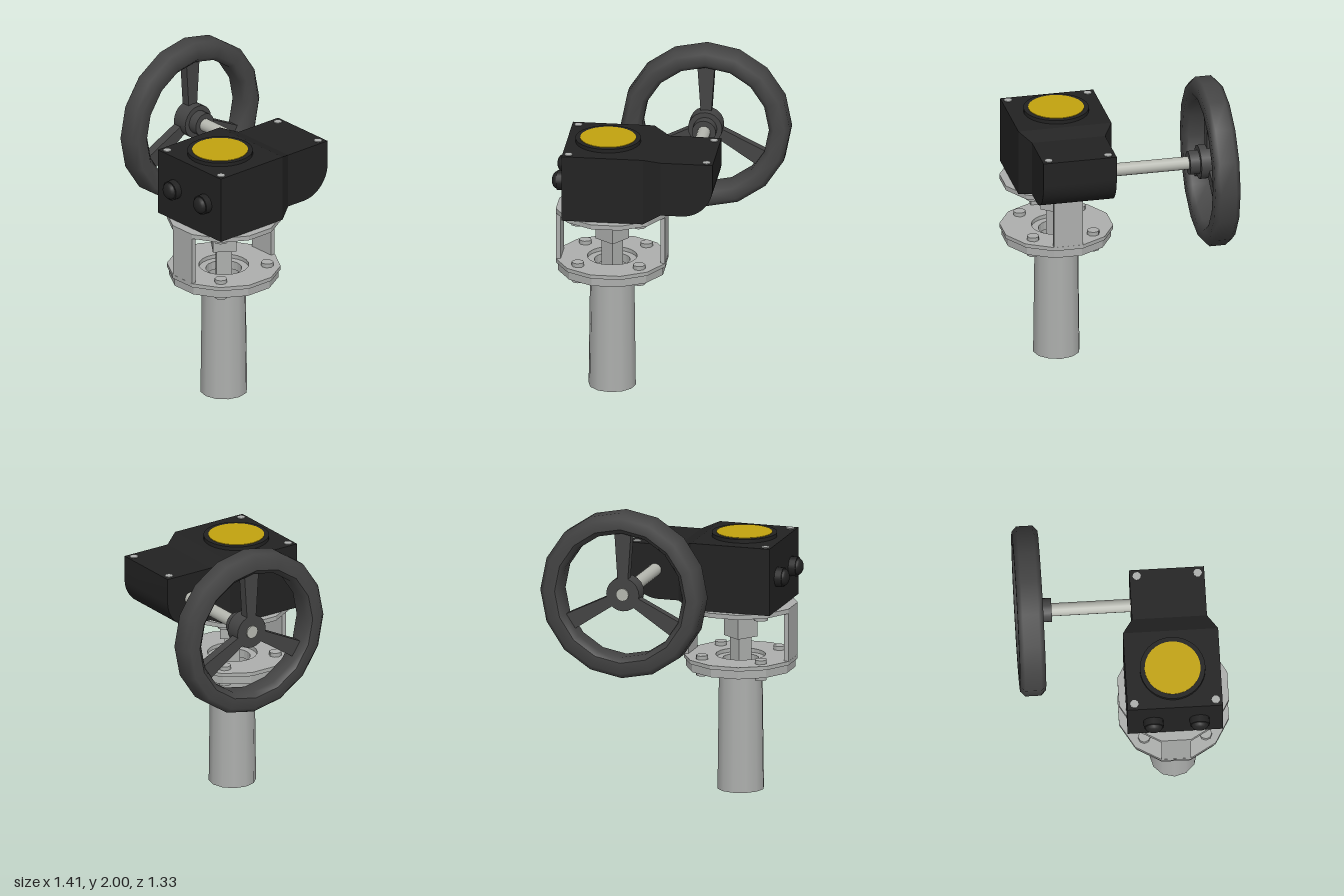
import * as THREE from 'three';
import { toCreasedNormals } from 'three/addons/utils/BufferGeometryUtils.js';

const metal = new THREE.MeshStandardMaterial({ color: 0xadafad });
metal.name = 'grey metal';
const openMetal = metal.clone();
openMetal.name = 'grey metal pipe';
openMetal.side = THREE.DoubleSide;
const steel = new THREE.MeshStandardMaterial({ color: 0xb6b8b0 });
steel.name = 'shaft steel';
const black = new THREE.MeshStandardMaterial({ color: 0x222222 });
black.name = 'black housing';
const iron = new THREE.MeshStandardMaterial({ color: 0x444444 });
iron.name = 'dark iron';
const yellow = new THREE.MeshStandardMaterial({ color: 0xc2a30f });
yellow.name = 'yellow';

const AX = -0.34, AZ = 0.313; // vertical valve axis
const WX = 0.158, WY = 1.455; // handwheel axis

function add(parent, name, geometry, material, x = 0, y = 0, z = 0) {
  const mesh = new THREE.Mesh(geometry, material);
  mesh.name = name;
  mesh.position.set(x, y, z);
  parent.add(mesh);
  return mesh;
}

const disc = (r, h, n = 24) => new THREE.CylinderGeometry(r, r, h, n);

// Twelve-sided plate with flats facing the axes, rising from y = 0
function flangePlate(apothem, height, hole) {
  const r = apothem / Math.cos(Math.PI / 12), pts = [];
  for (let i = 0; i < 12; i++) {
    const a = (i + 0.5) * Math.PI / 6;
    pts.push(new THREE.Vector2(r * Math.cos(a), r * Math.sin(a)));
  }
  const shape = new THREE.Shape(pts);
  if (hole) shape.holes.push(new THREE.Path().absarc(0, 0, hole, 0, Math.PI * 2, true));
  return new THREE.ExtrudeGeometry(shape, { depth: height, bevelEnabled: false, curveSegments: 12 }).rotateX(-Math.PI / 2);
}

// Box whose end at the positive side of one axis is scaled
function taperedBox(w, h, d, axis, scale) {
  const g = new THREE.BoxGeometry(w, h, d);
  const p = g.attributes.position, v = new THREE.Vector3();
  for (let i = 0; i < p.count; i++) {
    v.fromBufferAttribute(p, i);
    if (v[axis] > 0) v.multiply(scale);
    p.setXYZ(i, v.x, v.y, v.z);
  }
  g.computeVertexNormals();
  return g;
}

function buildMount() {
  const g = new THREE.Group();
  g.name = 'mount';
  g.position.set(AX, 0, AZ);
  add(g, 'pipe', new THREE.CylinderGeometry(0.142, 0.152, 0.82, 12, 1, true), openMetal, 0, 0.41, 0);
  add(g, 'lowerFlange', flangePlate(0.338, 0.055, 0.115), metal, 0, 0.8, 0);
  add(g, 'bracketBase', flangePlate(0.352, 0.025, 0.16), metal, 0, 0.855, 0);
  add(g, 'bracketTop', flangePlate(0.352, 0.03), metal, 0, 1.195, 0);
  for (const s of [-1, 1]) {
    add(g, 'bracketSide', new THREE.BoxGeometry(0.03, 0.32, 0.188), metal, s * 0.336, 1.038, 0);
  }
  // Square stem, turned part way
  add(g, 'stem', new THREE.BoxGeometry(0.098, 0.25, 0.098), metal, 0, 0.9, 0).rotation.y = -0.64;
  add(g, 'stemSocket', new THREE.BoxGeometry(0.152, 0.2, 0.152), metal, 0, 1.1, 0).rotation.y = -0.64;
  // Bolt heads above and below the plates
  for (const x of [-0.197, 0.197]) for (const z of [-0.197, 0.197]) {
    add(g, 'upperBolt', disc(0.048, 0.03, 8), metal, x, 1.181, z);
    add(g, 'bolt', disc(0.04, 0.028, 8), metal, x, 0.892, z);
    add(g, 'nut', disc(0.04, 0.028, 8), metal, x, 0.787, z);
  }
  return g;
}

function buildGearbox() {
  const g = new THREE.Group();
  g.name = 'gearbox';
  add(g, 'housing', new THREE.BoxGeometry(0.525, 0.44, 0.61), black, -0.3675, 1.445, 0.31);
  add(g, 'neck', taperedBox(0.105, 0.44, 0.61, 'x', new THREE.Vector3(1, 0.36 / 0.44, 0.48 / 0.61)), black, -0.0525, 1.445, 0.31);
  // Worm housing with one rounded lower corner
  const s = new THREE.Shape();
  s.moveTo(0, 1.265);
  s.lineTo(0.135, 1.265);
  s.absarc(0.135, 1.465, 0.2, -Math.PI / 2, 0, false);
  s.lineTo(0.335, 1.625);
  s.lineTo(0, 1.625);
  const worm = new THREE.ExtrudeGeometry(s, { depth: 0.48, bevelEnabled: false, curveSegments: 10 });
  add(g, 'wormHousing', toCreasedNormals(worm, 0.5), black, 0, 0, 0.07);
  // Position indicator
  add(g, 'indicatorRim', disc(0.21, 0.025, 32), black, -0.367, 1.677, 0.308);
  add(g, 'indicatorFace', disc(0.179, 0.004, 32), yellow, -0.367, 1.691, 0.308);
  for (const [x, y, z] of [[-0.59, 1.665, 0.05], [-0.59, 1.665, 0.572], [0.292, 1.625, 0.117], [0.292, 1.625, 0.507]]) {
    add(g, 'coverScrew', disc(0.027, 0.006, 10), metal, x, y + 0.001, z);
  }
  // Stop screw caps on the end
  for (const z of [0.17, 0.465]) {
    add(g, 'stopCap', disc(0.064, 0.045, 16).rotateZ(Math.PI / 2), black, -0.6525, 1.445, z);
    const dome = new THREE.SphereGeometry(0.056, 16, 6, 0, Math.PI * 2, 0, Math.PI / 2);
    dome.scale(1, 0.64, 1).rotateZ(Math.PI / 2);
    add(g, 'stopDome', dome, black, -0.674, 1.445, z);
  }
  return g;
}

function buildHandwheel() {
  const g = new THREE.Group();
  g.name = 'handwheel';
  g.position.set(WX, WY, -0.583);
  const profile = [[0.44, -0.083], [0.512, -0.083], [0.545, -0.052], [0.545, 0.052], [0.512, 0.083],
    [0.44, 0.083], [0.408, 0.05], [0.408, -0.05], [0.44, -0.083]].map(([r, z]) => new THREE.Vector2(r, z));
  add(g, 'rim', new THREE.LatheGeometry(profile, 16).rotateX(Math.PI / 2), iron);
  // Three spokes, wider towards the rim
  for (let i = 0; i < 3; i++) {
    const spoke = taperedBox(0.066, 0.37, 0.06, 'y', new THREE.Vector3(1.75, 1, 1)).translate(0, 0.255, 0);
    add(g, 'spoke', spoke, iron).rotation.z = i * Math.PI * 2 / 3;
  }
  add(g, 'hub', disc(0.11, 0.11, 20).rotateX(Math.PI / 2), iron, 0, 0, 0.025);
  add(g, 'hubCollar', disc(0.077, 0.08, 20).rotateX(Math.PI / 2), iron, 0, 0, 0.105);
  add(g, 'shaft', disc(0.042, 0.74, 16).rotateX(Math.PI / 2), steel, 0, 0, 0.33);
  return g;
}

export function createModel() {
  const model = new THREE.Group();
  model.name = 'gearOperator';
  model.add(buildMount(), buildGearbox(), buildHandwheel());
  return model;
}
